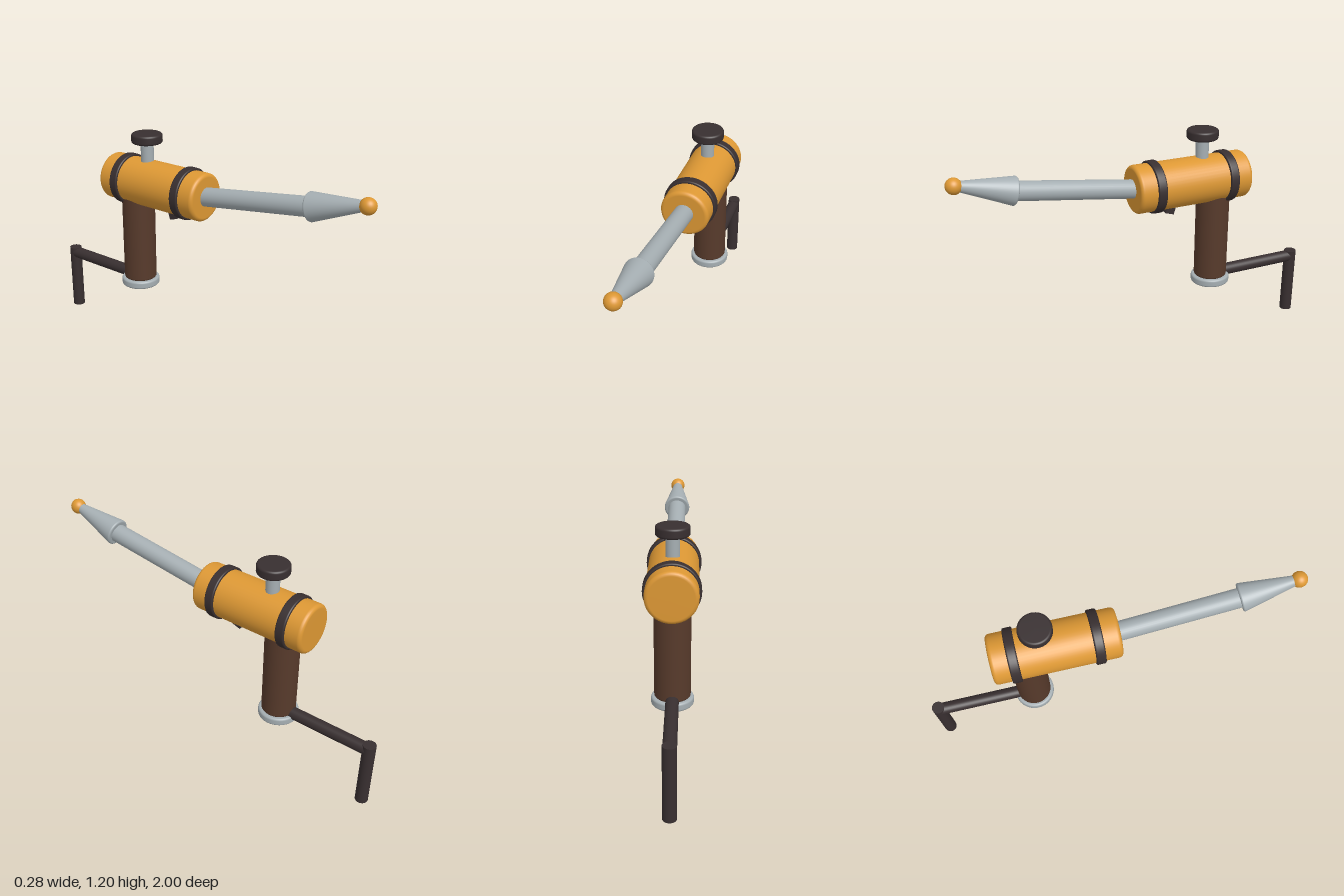
import * as THREE from 'three';

const mat = (name, color) => {
  const m = new THREE.MeshStandardMaterial({ color });
  m.name = name;
  return m;
};

// Lathed disc or drum, centred on its axis, with rounded rims; r0 is the bottom radius, r1 the top
function roundedDrum(r0, r1, h, b, b1 = b) {
  const pts = [new THREE.Vector2(0, -h / 2)];
  const steps = 5;
  for (let i = 0; i <= steps; i++) {
    const a = (i / steps) * Math.PI / 2;
    pts.push(new THREE.Vector2(r0 - b + b * Math.sin(a), -h / 2 + b - b * Math.cos(a)));
  }
  for (let i = 0; i <= steps; i++) {
    const a = (i / steps) * Math.PI / 2;
    pts.push(new THREE.Vector2(r1 - b1 + b1 * Math.cos(a), h / 2 - b1 + b1 * Math.sin(a)));
  }
  pts.push(new THREE.Vector2(0, h / 2));
  return new THREE.LatheGeometry(pts, 48);
}

export function createModel() {
  const model = new THREE.Group();
  model.name = 'crankTool';
  const amber = mat('amber', 0xdd9834);
  const metal = mat('paleMetal', 0xa5aeb2);
  const black = mat('charcoal', 0x382f30);
  const brown = mat('brown', 0x573a2b);

  const add = (name, geo, material, y, z, tilt = 0) => {
    const m = new THREE.Mesh(geo, material);
    m.name = name;
    m.position.set(0, y, z);
    m.rotation.x = tilt;
    model.add(m);
    return m;
  };
  const rod = (r, h) => new THREE.CylinderGeometry(r, r, h, 32);
  const FORWARD = Math.PI / 2; // lays a y-axis part along +z

  // Body drum with two clamping bands
  add('body', roundedDrum(0.128, 0.128, 0.65, 0.02), amber, 0.922, -0.275, FORWARD);
  for (const z of [-0.065, -0.487]) {
    add('band', roundedDrum(0.14, 0.14, 0.05, 0.008), black, 0.922, z, FORWARD);
  }

  // Grip and its base cap
  add('grip', roundedDrum(0.091, 0.091, 0.51, 0.012), brown, 0.6, -0.427);
  add('baseCap', roundedDrum(0.107, 0.107, 0.045, 0.012), metal, 0.325, -0.427);

  // Crank: horizontal arm and hanging handle
  add('crankArm', rod(0.033, 0.54), black, 0.35, -0.696, FORWARD);
  add('crankHandle', rod(0.034, 0.384), black, 0.192, -0.966);

  // Top knob on a stem
  add('knobStem', rod(0.035, 0.2), metal, 1.06, -0.352);
  add('knob', roundedDrum(0.084, 0.084, 0.052, 0.012), black, 1.173, -0.352);

  // Trigger stub under the body
  add('trigger', new THREE.BoxGeometry(0.045, 0.08, 0.05), black, 0.8, -0.168, -0.3);

  // Barrel, rising slightly forwards
  add('barrel', rod(0.05, 0.78), metal, 0.961, 0.287, FORWARD - 0.139);

  // Flared nozzle, tilted a little further, and the ball at its tip
  const tilt = 0.235, len = 0.28;
  add('nozzle', roundedDrum(0.073, 0.027, len, 0.01, 0.004), metal,
    1.014 + Math.sin(tilt) * len / 2, 0.665 + Math.cos(tilt) * len / 2, FORWARD - tilt);
  add('tipBall', new THREE.SphereGeometry(0.041, 32, 24), amber, 1.083, 0.959);

  return model;
}
